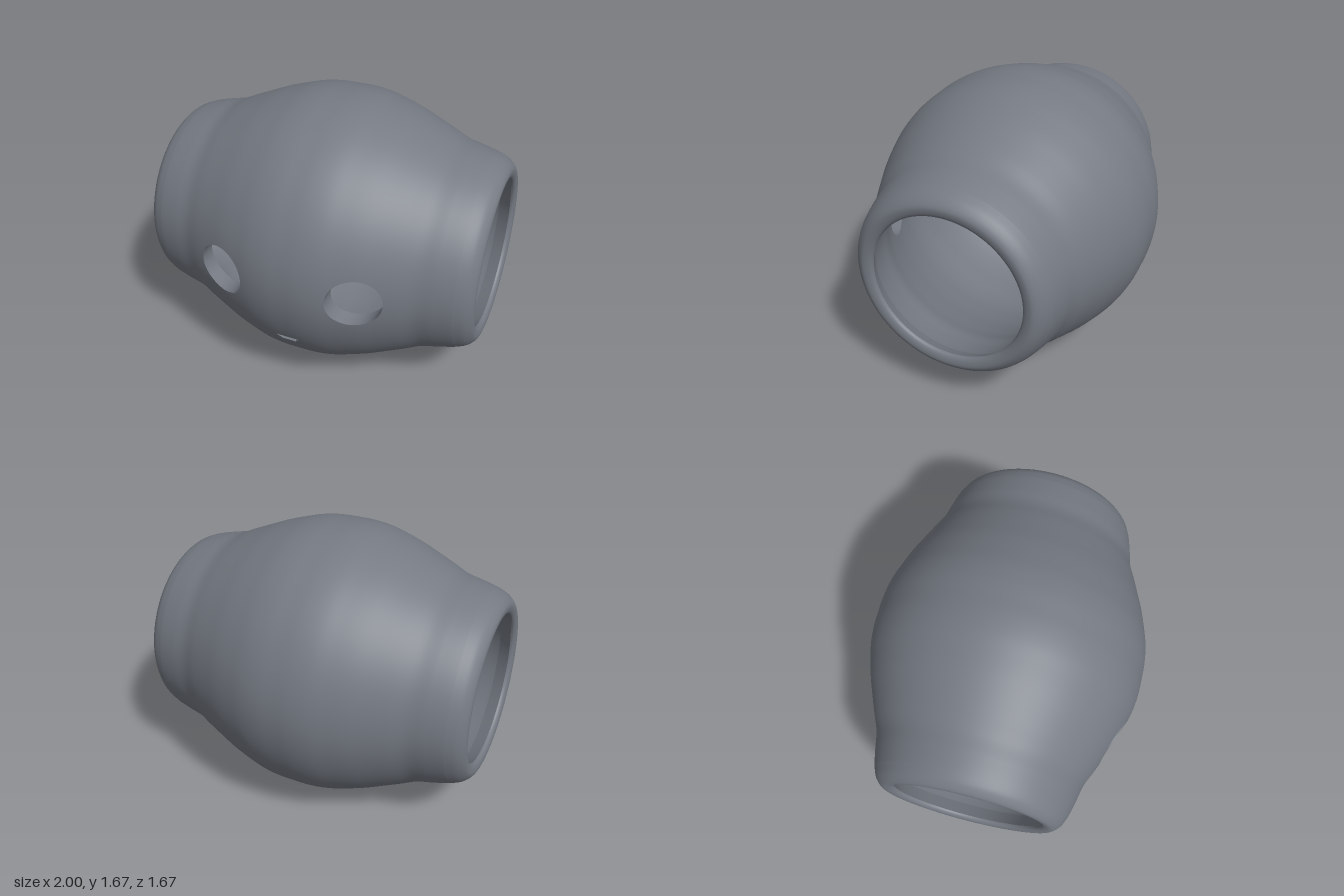
import * as THREE from 'three';
import { toCreasedNormals } from 'three/addons/utils/BufferGeometryUtils.js';

const CENTRE_Y = 0.835, WALL = 0.1;
const STEP = 0.025, COLS = 72, ROWS = 120, DEG3 = Math.PI / 60;

// Barrel radius at every 0.1 along the axis, smoothly interpolated
const KNOTS = [0.833, 0.831, 0.817, 0.789, 0.756, 0.715, 0.673, 0.629, 0.606, 0.58, 0.545, 0.51];
function radius(x) {
  const u = Math.abs(x) * 10, i = Math.min(Math.floor(u + 1e-6), 9), t = u - i;
  const a = KNOTS[Math.abs(i - 1)], b = KNOTS[i], c = KNOTS[i + 1], d = KNOTS[i + 2];
  return b + 0.5 * t * (c - a + t * (2 * a - 5 * b + 4 * c - d + t * (3 * (b - c) + d - a)));
}

// Openings in the front wall: convex outline (x, y) and the grid cells they replace
const circle = Array.from({ length: 64 }, (_, i) => {
  const a = (i / 64) * Math.PI * 2;
  return [0.149 * Math.cos(a), 0.149 * Math.sin(a)];
});
const trapezoid = [[-0.04, -0.02], [0.04, -0.02], [0.073, 0.018], [-0.073, 0.018]];
const HOLES = [
  { name: 'leftEye', x: 0.4, y: 0, outline: circle, c0: 44, c1: 60, r0: -6, r1: 6 },
  { name: 'rightEye', x: -0.4, y: 0, outline: circle, c0: 12, c1: 28, r0: -6, r1: 6 },
  { name: 'mouth', x: 0, y: -0.387, outline: trapezoid, c0: 32, c1: 40, r0: -13, r1: -7 },
];
const colX = (c) => (c - COLS / 2) * STEP;

// Grid points around a hole's cell block, counter-clockwise from the front
function blockLoop({ c0, c1, r0, r1 }) {
  const loop = [];
  for (let c = c0; c < c1; c++) loop.push([colX(c), r0 * DEG3]);
  for (let r = r0; r < r1; r++) loop.push([colX(c1), r * DEG3]);
  for (let c = c1; c > c0; c--) loop.push([colX(c), r1 * DEG3]);
  for (let r = r1; r > r0; r--) loop.push([colX(c0), r * DEG3]);
  return loop;
}

// Outline point (x, y) matched to each point of the block loop
function holeLoop(hole) {
  const cx = colX((hole.c0 + hole.c1) / 2), cp = ((hole.r0 + hole.r1) / 2) * DEG3;
  const o = hole.outline;
  const angles = blockLoop(hole).map(([x, p]) => Math.atan2((p - cp) * 0.75, x - cx));
  const pts = angles.map((a) => {
    let t = Infinity;
    o.forEach(([x0, y0], i) => {
      const [x1, y1] = o[(i + 1) % o.length];
      const nx = y1 - y0, ny = x0 - x1;
      const along = nx * Math.cos(a) + ny * Math.sin(a);
      if (along > 1e-9) t = Math.min(t, (nx * x0 + ny * y0) / along);
    });
    return [t * Math.cos(a), t * Math.sin(a)];
  });
  // keep the corners of a simple polygon sharp
  if (o.length < 8) o.forEach(([x, y]) => {
    const gap = (a) => Math.abs(Math.atan2(Math.sin(a - Math.atan2(y, x)), Math.cos(a - Math.atan2(y, x))));
    let best = 0;
    angles.forEach((a, i) => { if (gap(a) < gap(angles[best])) best = i; });
    pts[best] = [x, y];
  });
  return pts.map(([x, y]) => [hole.x + x, hole.y + y]);
}

function build(pos, index, nor) {
  const g = new THREE.BufferGeometry();
  g.setAttribute('position', new THREE.Float32BufferAttribute(pos, 3));
  if (nor) g.setAttribute('normal', new THREE.Float32BufferAttribute(nor, 3));
  g.setIndex(index);
  return g;
}

// Barrel skin at a given inset, pierced by the holes
function skin(inset, inward) {
  const pos = [], nor = [], index = [], s = inward ? -1 : 1;
  const add = (x, p) => {
    const r = radius(x) - inset, slope = (radius(x + 0.002) - radius(x - 0.002)) / 0.004;
    const n = new THREE.Vector3(-slope, Math.sin(p), Math.cos(p)).normalize().multiplyScalar(s);
    pos.push(x, r * Math.sin(p), r * Math.cos(p));
    nor.push(n.x, n.y, n.z);
  };
  const quad = (a, b, c, d) => inward ? index.push(a, c, b, a, d, c) : index.push(a, b, c, a, c, d);

  for (let r = 0; r <= ROWS; r++) for (let c = 0; c <= COLS; c++) add(colX(c), (r - ROWS / 2) * DEG3);
  for (let r = 0; r < ROWS; r++) for (let c = 0; c < COLS; c++) {
    const row = r - ROWS / 2;
    if (HOLES.some((h) => c >= h.c0 && c < h.c1 && row >= h.r0 && row < h.r1)) continue;
    const a = r * (COLS + 1) + c, d = a + COLS + 1;
    quad(a, a + 1, d + 1, d);
  }
  // blend each block border into its hole edge
  for (const h of HOLES) {
    const from = blockLoop(h), n = from.length, K = 5;
    const to = holeLoop(h).map(([x, y]) => [x, Math.asin(y / (radius(x) - inset))]);
    const first = pos.length / 3;
    for (let k = 0; k <= K; k++) for (let i = 0; i < n; i++) {
      const t = k / K;
      add(from[i][0] * (1 - t) + to[i][0] * t, from[i][1] * (1 - t) + to[i][1] * t);
    }
    for (let k = 0; k < K; k++) for (let i = 0; i < n; i++) {
      const a = first + k * n, j = (i + 1) % n;
      quad(a + i, a + j, a + n + j, a + n + i);
    }
  }
  return build(pos, index, nor);
}

// Wall of a hole between the outer and inner skins
function holeWall(hole) {
  const loop = holeLoop(hole), n = loop.length, pos = [], index = [];
  for (const inset of [0, WALL]) for (const [x, y] of loop) {
    pos.push(x, y, Math.sqrt((radius(x) - inset) ** 2 - y * y));
  }
  for (let i = 0; i < n; i++) {
    const j = (i + 1) % n;
    index.push(i, j, n + j, i, n + j, n + i);
  }
  return toCreasedNormals(build(pos, index), 0.5);
}

export function createModel() {
  const group = new THREE.Group();
  const material = new THREE.MeshStandardMaterial({ color: 0x757a83 });
  const add = (name, geometry) => {
    const mesh = new THREE.Mesh(geometry, material);
    mesh.name = name;
    mesh.position.y = CENTRE_Y;
    group.add(mesh);
  };

  add('outerShell', skin(0, false));
  add('innerCavity', skin(WALL, true));
  for (const h of HOLES) add(h.name + 'Opening', holeWall(h));

  // Rounded rims, and the lip flaring back into the cavity
  const rim = new THREE.SplineCurve([
    [0.58, 0.9], [0.558, 0.95], [0.533, 0.98], [0.51, 0.996], [0.49, 1], [0.465, 0.996], [0.448, 0.986], [0.442, 0.972],
  ].map(([r, x]) => new THREE.Vector2(r, x))).getPoints(28);
  const lip = [new THREE.Vector2(0.442, 0.972), new THREE.Vector2(radius(0.9) - WALL, 0.9)];
  for (const [side, turn] of [['left', 0], ['right', Math.PI]]) {
    for (const [part, points] of [['Rim', rim], ['Lip', lip]]) {
      add(side + part, new THREE.LatheGeometry(points, ROWS).rotateZ(-Math.PI / 2).rotateY(turn));
    }
  }
  return group;
}
